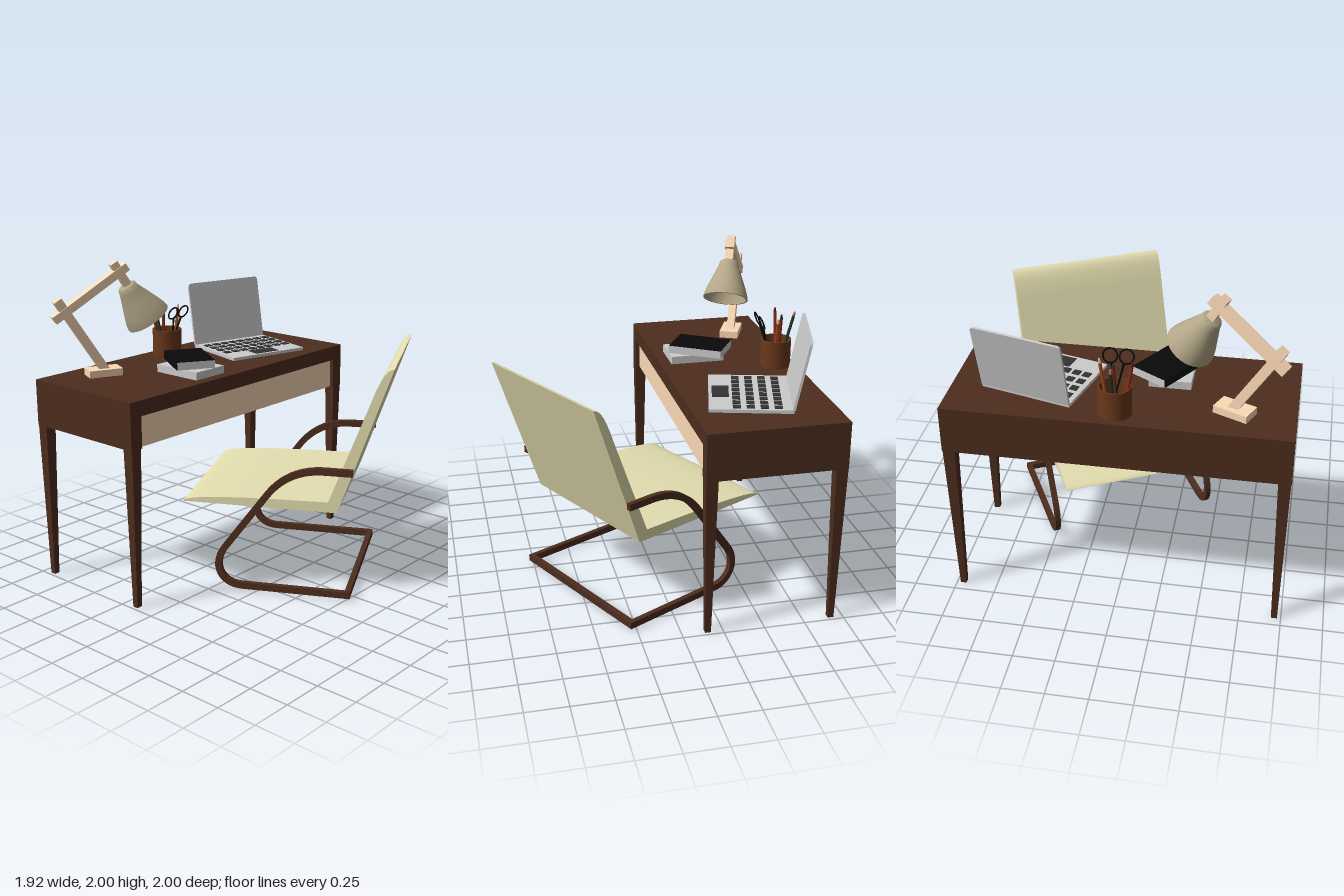
import * as THREE from 'three';
import { toCreasedNormals } from 'three/addons/utils/BufferGeometryUtils.js';

const mat = (color, side = THREE.FrontSide) => new THREE.MeshStandardMaterial({ color, side });
const walnut = mat(0x4d2d1e), cream = mat(0xe4deb0), paleWood = mat(0xfcdab6);
const shadeTan = mat(0xb3a688, THREE.DoubleSide), grey = mat(0xcccccc), dark = mat(0x333333), black = mat(0x0a0a0a);
const V = (x, y, z) => new THREE.Vector3(x, y, z);

function add(parent, name, geo, material, x = 0, y = 0, z = 0) {
  const m = new THREE.Mesh(geo, material);
  m.name = name;
  m.position.set(x, y, z);
  parent.add(m);
  return m;
}
const box = (parent, name, material, w, h, d, x, y, z) =>
  add(parent, name, new THREE.BoxGeometry(w, h, d), material, x, y, z);

function subgroup(parent, name, x, y, z, turn = 0) {
  const g = new THREE.Group();
  g.name = name;
  g.position.set(x, y, z);
  g.rotation.y = turn;
  parent.add(g);
  return g;
}

// Straight round piece between two points
function rod(parent, name, material, a, b, r0, r1 = r0) {
  const m = add(parent, name, new THREE.CylinderGeometry(r1, r0, a.distanceTo(b), 8), material);
  m.position.copy(a).lerp(b, 0.5);
  m.quaternion.setFromUnitVectors(V(0, 1, 0), b.clone().sub(a).normalize());
}

// Square beam lying in the local xy plane
function beam(parent, name, a, b, thick, width) {
  const m = box(parent, name, paleWood, a.distanceTo(b), thick, width, 0, 0, 0);
  m.position.copy(a).lerp(b, 0.5);
  m.rotation.z = Math.atan2(b.y - a.y, b.x - a.x);
}

function makeDesk(root) {
  const desk = subgroup(root, 'desk', -0.54, 0, 0);
  // Top with an apron, open underneath
  box(desk, 'deskTop', walnut, 0.84, 0.095, 2, 0, 1.2425, 0);
  for (const s of [-1, 1]) box(desk, 'deskSide', walnut, 0.84, 0.195, 0.085, 0, 1.0975, s * 0.9575);
  box(desk, 'deskBack', walnut, 0.04, 0.195, 1.83, -0.4, 1.0975, 0);
  box(desk, 'drawerFront', paleWood, 0.02, 0.195, 1.83, 0.385, 1.0975, 0);
  // Tapered square legs
  const leg = new THREE.CylinderGeometry(0.036 * Math.SQRT2, 0.018 * Math.SQRT2, 1, 4).toNonIndexed();
  leg.rotateY(Math.PI / 4);
  leg.computeVertexNormals();
  for (const x of [-0.384, 0.384]) for (const z of [-0.96, 0.96]) add(desk, 'deskLeg', leg, walnut, x, 0.5, z);
}

function makeChair(root) {
  const chair = subgroup(root, 'chair', 0.4, 0, -0.33, 0.481);
  // Seat and back share one side profile
  const p = new THREE.Shape();
  p.moveTo(-0.91, 0.555);
  p.lineTo(0.056, 0.555);
  p.lineTo(0.372, 1.46);
  p.bezierCurveTo(0.335, 1.46, 0.3, 1.42, 0.24, 1.25);
  p.lineTo(0, 0.62);
  p.lineTo(-0.35, 0.613);
  p.bezierCurveTo(-0.6, 0.607, -0.9, 0.592, -0.91, 0.555);
  const geo = new THREE.ExtrudeGeometry(p, { depth: 1, bevelEnabled: false, curveSegments: 14 });
  geo.translate(0, 0, -0.5);
  add(chair, 'seatAndBack', toCreasedNormals(geo, 0.5), cream);

  // Bent cantilever frame of flat-sided section on both sides
  const section = new THREE.Shape([[-1, -1], [1, -1], [1, 1], [-1, 1]].map(([x, y]) => new THREE.Vector2(x * 0.016, y * 0.021)));
  for (const s of [-1, 1]) {
    const P = (x, y) => V(x, y, s * 0.515);
    const path = new THREE.CurvePath();
    path.add(new THREE.LineCurve3(P(0.148, 0.035), P(-0.53, 0.035)));
    path.add(new THREE.CubicBezierCurve3(P(-0.53, 0.035), P(-0.65, 0.035), P(-0.725, 0.14), P(-0.645, 0.27)));
    path.add(new THREE.LineCurve3(P(-0.645, 0.27), P(-0.37, 0.645)));
    path.add(new THREE.CubicBezierCurve3(P(-0.37, 0.645), P(-0.28, 0.765), P(-0.16, 0.82), P(-0.02, 0.82)));
    path.add(new THREE.LineCurve3(P(-0.02, 0.82), P(0.148, 0.82)));
    const frame = new THREE.ExtrudeGeometry(section, { steps: 90, extrudePath: path, bevelEnabled: false });
    add(chair, 'sideFrame', toCreasedNormals(frame, 0.5), walnut);
  }
  box(chair, 'rearCrossbar', walnut, 0.034, 0.041, 1.03, 0.131, 0.035, 0);
}

function makeLaptop(root) {
  const laptop = subgroup(root, 'laptop', -0.755, 1.29, -0.545, -0.26);
  box(laptop, 'laptopBase', grey, 0.49, 0.02, 0.565, 0.245, 0.01, 0);
  // Lid with rounded top corners, leaning back
  const w = 0.2825, h = 0.42, r = 0.025;
  const s = new THREE.Shape();
  s.moveTo(-w, 0);
  s.lineTo(w, 0);
  s.lineTo(w, h - r);
  s.quadraticCurveTo(w, h, w - r, h);
  s.lineTo(r - w, h);
  s.quadraticCurveTo(-w, h, -w, h - r);
  const lid = new THREE.ExtrudeGeometry(s, { depth: 0.015, bevelEnabled: false, curveSegments: 5 });
  lid.rotateY(Math.PI / 2);
  add(laptop, 'laptopScreen', lid, grey, -0.005, 0.015, 0).rotation.z = 0.19;
  for (let row = 0; row < 4; row++) for (let k = 0; k < 8; k++) {
    box(laptop, 'key', dark, 0.046, 0.006, 0.046, 0.088 + row * 0.08, 0.022, -0.24 + k * 0.067);
  }
  box(laptop, 'trackpad', dark, 0.1, 0.004, 0.18, 0.42, 0.021, 0);
}

// Block of pages with a top cover and a spine on one long side
function makeBook(root, name, cover, x, y, z, turn, len, wid, high) {
  const book = subgroup(root, name, x, y, z, turn);
  box(book, 'pages', grey, len, high - 0.002, wid - 0.004, 0, high / 2 - 0.001, -0.002);
  box(book, 'cover', cover, len, 0.002, wid, 0, high - 0.001, 0);
  box(book, 'spine', cover, len, high, 0.004, 0, high / 2, wid / 2 - 0.002);
}

function makePenCup(root) {
  const cup = subgroup(root, 'penCup', -0.83, 1.29, -0.01);
  const profile = [[0, 0], [0.096, 0], [0.096, 0.175], [0.086, 0.175], [0.086, 0.012], [0, 0.012]];
  const geo = new THREE.LatheGeometry(profile.map(([x, y]) => new THREE.Vector2(x, y)), 28);
  add(cup, 'cup', toCreasedNormals(geo, 0.6), mat(0x6a381b));
  // Pencils: foot, top, body colour, end colour
  const pencils = [
    [V(-0.03, 0.015, 0), V(-0.11, 0.315, 0), 0x1f3a22, 0xc86a6a],
    [V(-0.02, 0.015, 0.055), V(-0.02, 0.315, 0.1), 0x8a2c18, 0x6a2012],
    [V(0.02, 0.015, -0.045), V(0.02, 0.3, -0.085), 0xa04a1c, 0xdfc1a0],
    [V(-0.02, 0.015, 0.01), V(-0.03, 0.3, 0), 0x7a2a18, 0x333333],
  ];
  for (const [a, b, body, end] of pencils) {
    rod(cup, 'pencil', mat(body), a, b, 0.01);
    const d = b.clone().sub(a).normalize().multiplyScalar(0.028);
    rod(cup, 'pencilEnd', mat(end), b, b.clone().add(d), 0.01, 0.006);
  }
  // Scissors with ring handles
  for (const s of [-1, 1]) {
    const ring = add(cup, 'scissorHandle', new THREE.TorusGeometry(0.041, 0.005, 8, 24), black, 0.112, 0.298, s * 0.047 + 0.002);
    ring.rotation.set(0, Math.PI / 2, -0.35, 'ZYX');
    rod(cup, 'scissorBlade', black, V(0.098, 0.26, s * 0.035), V(0.025, 0.015, -s * 0.02), 0.007, 0.004);
  }
}

function makeLamp(root) {
  const lamp = subgroup(root, 'deskLamp', -0.73, 0, 0.65, 1.143);
  box(lamp, 'lampBase', paleWood, 0.213, 0.045, 0.122, 0, 1.3125, 0);
  beam(lamp, 'lowerArm', V(0.01, 1.32, 0), V(-0.275, 1.78, 0), 0.055, 0.05);
  beam(lamp, 'upperArm', V(-0.3, 1.66, 0), V(0.17, 1.96, 0), 0.05, 0.062);
  beam(lamp, 'headPost', V(0.085, 1.985, 0), V(0.185, 1.82, 0), 0.05, 0.05);
  // Bulging conical shade hanging from the post, open at the mouth
  const pts = [[0, 0], [0.05, 0], [0.06, 0.008], [0.068, 0.04], [0.096, 0.11], [0.124, 0.18], [0.141, 0.23], [0.145, 0.255], [0.135, 0.255]];
  const geo = new THREE.LatheGeometry(pts.map(([r, d]) => new THREE.Vector2(r, -d)).reverse(), 32);
  add(lamp, 'lampShade', toCreasedNormals(geo, 0.7), shadeTan, 0.163, 1.84, 0).rotation.z = 0.57;
}

export function createModel() {
  const root = new THREE.Group();
  root.name = 'deskWithChair';
  makeDesk(root);
  makeChair(root);
  makeLaptop(root);
  makeBook(root, 'lowerBook', grey, -0.36, 1.29, 0.255, 0, 0.34, 0.25, 0.049);
  makeBook(root, 'upperBook', black, -0.4, 1.339, 0.225, -0.555, 0.345, 0.245, 0.051);
  makePenCup(root);
  makeLamp(root);
  return root;
}
